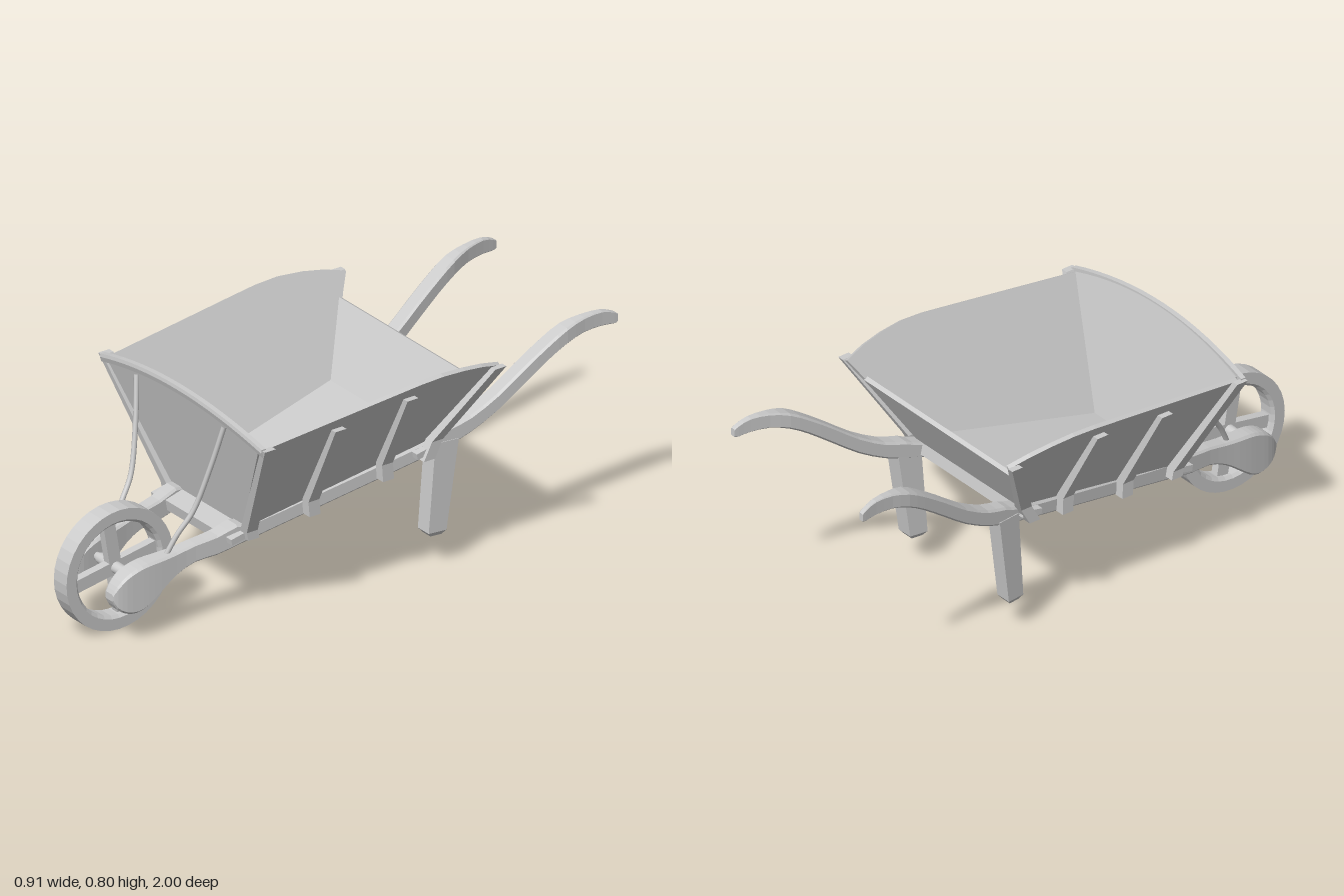
import * as THREE from 'three';

const flat = new THREE.MeshStandardMaterial({ color: 0xcccccc, flatShading: true });
const smooth = new THREE.MeshStandardMaterial({ color: 0xcccccc });
const V = (x, y, z) => new THREE.Vector3(x, y, z);

// Closed solid through a series of convex rings; turned outward by its signed volume
function loft(rings) {
  const tris = [];
  const n = rings[0].length, last = rings.length - 1;
  for (let i = 0; i < last; i++) {
    for (let j = 0; j < n; j++) {
      const k = (j + 1) % n;
      const a = rings[i][j], b = rings[i][k], c = rings[i + 1][k], d = rings[i + 1][j];
      tris.push([a, b, c], [a, c, d]);
    }
  }
  for (let j = 1; j < n - 1; j++) {
    tris.push([rings[0][0], rings[0][j + 1], rings[0][j]]);
    tris.push([rings[last][0], rings[last][j], rings[last][j + 1]]);
  }
  const mid = rings[0][0];
  const volume = tris.reduce((sum, [a, b, c]) =>
    sum + a.clone().sub(mid).dot(b.clone().sub(mid).cross(c.clone().sub(mid))), 0);
  if (volume < 0) tris.forEach((t) => t.reverse());
  const geo = new THREE.BufferGeometry().setFromPoints(tris.flat());
  geo.computeVertexNormals();
  return geo;
}

// Board between two matching edges, thickened by an offset
const slab = (low, high, off) =>
  loft(low.map((p, i) => [p, high[i], high[i].clone().add(off), p.clone().add(off)]));

// Tray planes and shaft line
const sideX = (y, z) => 0.19 + 0.57 * (y - 0.33) + 0.02 * (z - 0.39);
const frontZ = (y) => 0.39 + 0.256 * (y - 0.33);
const shaftX = (z) => 0.115 + 0.117 * (0.87 - z);

export function createModel() {
  const model = new THREE.Group();
  const add = (name, geo, mat = flat, parent = model) => {
    const mesh = new THREE.Mesh(geo, mat);
    mesh.name = name;
    parent.add(mesh);
    return mesh;
  };

  // Wheel: rim, spokes and turned axle
  const wheel = new THREE.Group();
  wheel.name = 'wheel';
  wheel.position.set(0, 0.215, 0.785);
  wheel.rotation.x = 0.17;
  model.add(wheel);
  const rim = [[0.165, -0.025], [0.175, -0.035], [0.215, -0.035], [0.215, 0.035],
    [0.175, 0.035], [0.165, 0.025], [0.165, -0.025]].map(([r, h]) => new THREE.Vector2(r, h));
  add('rim', new THREE.LatheGeometry(rim, 36), flat, wheel).rotation.z = Math.PI / 2;
  for (let i = 0; i < 4; i++) {
    const spoke = new THREE.BoxGeometry(0.03, 0.17, 0.046).translate(0, 0.085, 0);
    add('spoke', spoke.rotateX(i * Math.PI / 2), flat, wheel);
  }
  const axle = [[0, -0.11], [0.013, -0.11], [0.014, -0.085], [0.019, -0.07], [0.021, 0],
    [0.019, 0.07], [0.014, 0.085], [0.013, 0.11], [0, 0.11]].map(([r, h]) => new THREE.Vector2(r, h));
  add('axle', new THREE.LatheGeometry(axle, 16), smooth, wheel).rotation.z = Math.PI / 2;

  // Shaft sections: z, underside, top, half width
  const shaft = [
    [0.885, 0.165, 0.19, 0.022], [0.87, 0.135, 0.215, 0.028], [0.84, 0.114, 0.246, 0.033],
    [0.8, 0.107, 0.266, 0.034], [0.76, 0.122, 0.276, 0.034], [0.71, 0.16, 0.281, 0.032],
    [0.65, 0.205, 0.288, 0.028], [0.58, 0.235, 0.302, 0.026], [0.5, 0.242, 0.314, 0.028],
    [0.43, 0.258, 0.336, 0.03], [0.37, 0.271, 0.332, 0.03], [0.17, 0.313, 0.371, 0.03],
    [-0.06, 0.361, 0.418, 0.03], [-0.29, 0.41, 0.466, 0.03], [-0.36, 0.428, 0.493, 0.03],
    [-0.44, 0.455, 0.516, 0.03], [-0.54, 0.508, 0.57, 0.03], [-0.64, 0.58, 0.643, 0.03],
    [-0.73, 0.645, 0.705, 0.03], [-0.8, 0.686, 0.745, 0.028], [-0.87, 0.709, 0.763, 0.018],
    [-0.94, 0.714, 0.766, 0.012], [-0.985, 0.71, 0.752, 0.01], [-1, 0.714, 0.742, 0.009]];
  const profile = new THREE.CatmullRomCurve3(shaft.map(([z, lo, hi]) => V(z, lo, hi)), false, 'catmullrom');
  const widths = new THREE.CatmullRomCurve3(shaft.map((p) => V(p[3], 0, 0)), false, 'catmullrom');
  const steps = (shaft.length - 1) * 2;

  // Stakes: top y, top z, bottom y, bottom z
  const stakes = [[0.725, 0.488, 0.29, 0.392], [0.705, 0.19, 0.32, 0.165],
    [0.74, -0.09, 0.38, -0.108], [0.752, -0.445, 0.415, -0.26]];

  // Curved top edge of the side board: z, y
  const sideTop = [[0.49, 0.725], [0.25, 0.752], [0, 0.78], [-0.12, 0.793], [-0.21, 0.797],
    [-0.3, 0.79], [-0.38, 0.777], [-0.46, 0.755]];

  for (const s of [1, -1]) {
    const label = s > 0 ? 'left' : 'right';

    add(label + 'Shaft', loft(Array.from({ length: steps + 1 }, (_, i) => {
      const { x: z, y: lo, z: hi } = profile.getPoint(i / steps);
      const w = widths.getPoint(i / steps).x;
      const c = Math.min(w * 0.25, (hi - lo) * 0.3);
      return [[-w + c, lo], [w - c, lo], [w, lo + c], [w, hi - c],
        [w - c, hi], [-w + c, hi], [-w, hi - c], [-w, lo + c]]
        .map(([x, y]) => V(s * (shaftX(z) + x), y, z));
    })));

    const top = sideTop.map(([z, y]) => V(s * sideX(y, z), y, z));
    const low = sideTop.map(([z]) => {
      const t = (0.49 - z) / 0.95;
      const y = 0.33 + 0.14 * t, zb = 0.39 - 0.67 * t;
      return V(s * sideX(y, zb), y, zb);
    });
    add(label + 'SideBoard', slab(low, top, V(0.013 * s, -0.0074, 0)));

    // Stakes lean with the board, then drop upright against the shaft
    for (const [y1, z1, y0, z0] of stakes) {
      const foot = shaftX(z0) + 0.03;
      const bend = 0.33 + (foot - 0.017 - sideX(0.33, z0)) / 0.57;
      add(label + 'Stake', loft([y0, bend, y1].map((y) => {
        const t = (y - y0) / (y1 - y0);
        const z = z0 + (z1 - z0) * t;
        const x = Math.max(foot, sideX(y, z) + 0.016), d = 0.036 - 0.012 * t;
        return [[x, -1], [x + d, -1], [x + d, 1], [x, 1]].map(([px, e]) => V(s * px, y, z + e * 0.022));
      })));
    }

    // Tapered leg with a chamfered foot: y, z range, x range; turned in line with the shaft
    add(label + 'Leg', loft([[0.112, -0.295, -0.335, 0.235, 0.275], [0.128, -0.282, -0.348, 0.225, 0.285],
      [0.45, -0.305, -0.392, 0.226, 0.288]].map(([y, z0, z1, x0, x1]) =>
      [[x0, z0], [x1, z0], [x1, z1], [x0, z1]].map(([x, z]) => V(s * (x - 0.117 * (z + 0.33)), y, z)))));

    // Bent iron stay from the front board to the shaft
    const path = new THREE.CatmullRomCurve3([V(s * 0.24, 0.735, 0.515), V(s * 0.205, 0.58, 0.545),
      V(s * 0.17, 0.42, 0.59), V(s * 0.152, 0.345, 0.64), V(s * 0.138, 0.265, 0.682)]);
    add(label + 'Stay', new THREE.TubeGeometry(path, 24, 0.009, 8), smooth);
  }

  // Front board with an arched top and a capping rail on its outer face
  const us = Array.from({ length: 17 }, (_, i) => i / 8 - 1);
  const arch = (u) => 0.787 - 0.062 * u * u;
  add('frontBoard', slab(us.map((u) => V(0.19 * u, 0.325, 0.389)),
    us.map((u) => V(0.418 * u, arch(u), frontZ(arch(u)))), V(0, -0.004, 0.015)));
  add('frontRail', loft(us.map((u) => {
    const y = arch(u) + 0.004, z = frontZ(y);
    return [V(0.442 * u, y - 0.03, z + 0.002), V(0.442 * u, y - 0.03, z + 0.016),
      V(0.442 * u, y - 0.012, z + 0.022), V(0.442 * u, y, z + 0.02), V(0.442 * u, y, z + 0.002)];
  })));

  // Tail board and floor
  const ends = [-1, 1];
  add('tailBoard', slab(ends.map((u) => V(u * sideX(0.47, -0.28), 0.47, -0.28)),
    ends.map((u) => V(u * sideX(0.69, -0.405), 0.69, -0.405)), V(0, -0.008, -0.014)));
  add('floor', slab(ends.map((u) => V(0.19 * u, 0.334, 0.39)),
    ends.map((u) => V(u * sideX(0.473, -0.28), 0.473, -0.28)), V(0, -0.015, 0)));

  // Cross boards under the floor, with tenons through the shafts
  for (const [name, inner, outer, y, z] of [['front', 0.3, 0.44, 0.3, 0.43], ['rear', 0.46, 0.6, 0.44, -0.26]]) {
    const board = add(name + 'CrossBoard', new THREE.BoxGeometry(inner, 0.04, 0.09));
    const tenon = add(name + 'Tenon', new THREE.BoxGeometry(outer, 0.022, 0.08));
    for (const part of [board, tenon]) {
      part.position.set(0, y, z);
      part.rotation.x = 0.2;
    }
  }
  return model;
}
